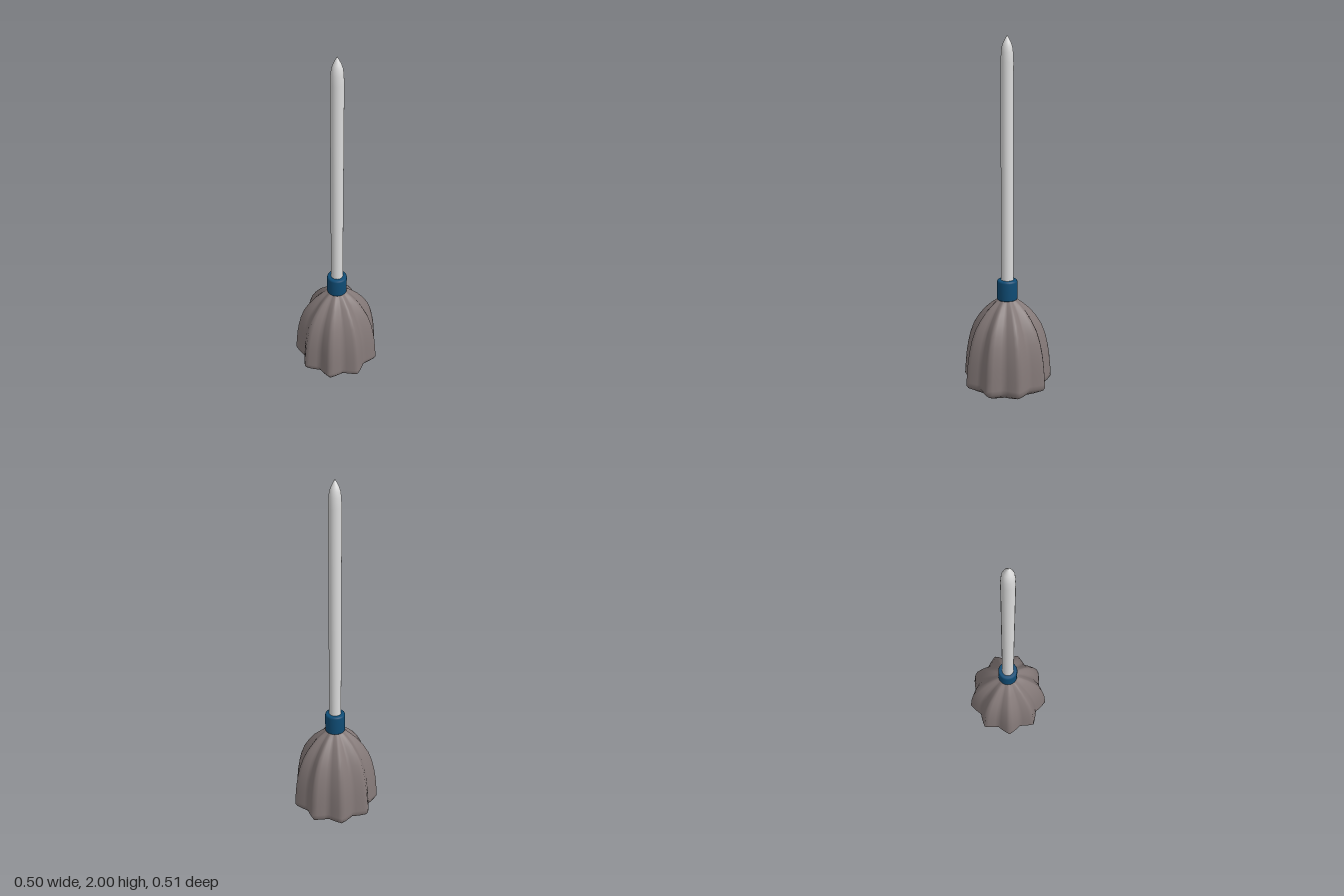
import * as THREE from 'three';

const fabric = new THREE.MeshStandardMaterial({ color: 0x847978 });
fabric.name = 'warm grey fabric';
const blue = new THREE.MeshStandardMaterial({ color: 0x0f4c75 });
blue.name = 'blue plastic';
const pale = new THREE.MeshStandardMaterial({ color: 0xdcdcdc });
pale.name = 'pale grey handle';

const v2 = ([r, y]) => new THREE.Vector2(r, y);

// Lathed part from [radius, height] pairs
function turned(name, profile, material, segments = 32) {
  const mesh = new THREE.Mesh(new THREE.LatheGeometry(profile.map(v2), segments), material);
  mesh.name = name;
  return mesh;
}

// Pleated head: rings whose radius swings between nine ridges and nine valleys
function pleatedHead() {
  const folds = 9, sides = folds * 8;
  // ridge radius, height, depth of the valleys as a share of the radius
  const rings = [
    [0.001, 0.0, 0], [0.08, 0.008, 0.03], [0.15, 0.016, 0.08], [0.205, 0.028, 0.13], [0.245, 0.05, 0.16],
    [0.258, 0.07, 0.16], [0.257, 0.09, 0.16], [0.252, 0.15, 0.16], [0.246, 0.21, 0.16],
    [0.236, 0.27, 0.16], [0.222, 0.33, 0.17], [0.2, 0.39, 0.18], [0.17, 0.44, 0.19],
    [0.13, 0.49, 0.19], [0.09, 0.525, 0.17], [0.055, 0.55, 0.1], [0.04, 0.565, 0],
  ];
  const positions = [], index = [];
  rings.forEach(([radius, y, depth], i) => {
    for (let j = 0; j < sides; j++) {
      const a = Math.PI + (j / sides) * Math.PI * 2;
      const t = Math.abs(((j / 8 + 0.5) % 1) - 0.5) * 2; // 0 on a ridge, 1 in a valley
      const r = radius * (1 - depth * (0.7 * t + 0.3 * Math.sin(t * Math.PI / 2)));
      positions.push(r * Math.cos(a), y, r * Math.sin(a));
      if (i === 0) continue;
      const k = (j + 1) % sides, lo = (i - 1) * sides, hi = i * sides;
      index.push(lo + j, hi + j, lo + k, lo + k, hi + j, hi + k);
    }
  });
  const geometry = new THREE.BufferGeometry();
  geometry.setAttribute('position', new THREE.Float32BufferAttribute(positions, 3));
  geometry.setIndex(index);
  geometry.computeVertexNormals();
  const mesh = new THREE.Mesh(geometry, fabric);
  mesh.name = 'pleatedHead';
  return mesh;
}

export function createModel() {
  const model = new THREE.Group();
  model.name = 'mop';
  model.add(pleatedHead());

  // Collar with softened rims
  model.add(turned('collar', [
    [0.03, 0.548], [0.054, 0.548], [0.058, 0.554], [0.058, 0.652],
    [0.056, 0.66], [0.05, 0.664], [0.03, 0.664],
  ], blue));

  // Long handle with a pointed end
  model.add(turned('handle', [
    [0.035, 0.56], [0.035, 1.2], [0.035, 1.86], [0.033, 1.91],
    [0.029, 1.94], [0.022, 1.96], [0.012, 1.98], [0, 2],
  ], pale, 24));
  return model;
}
